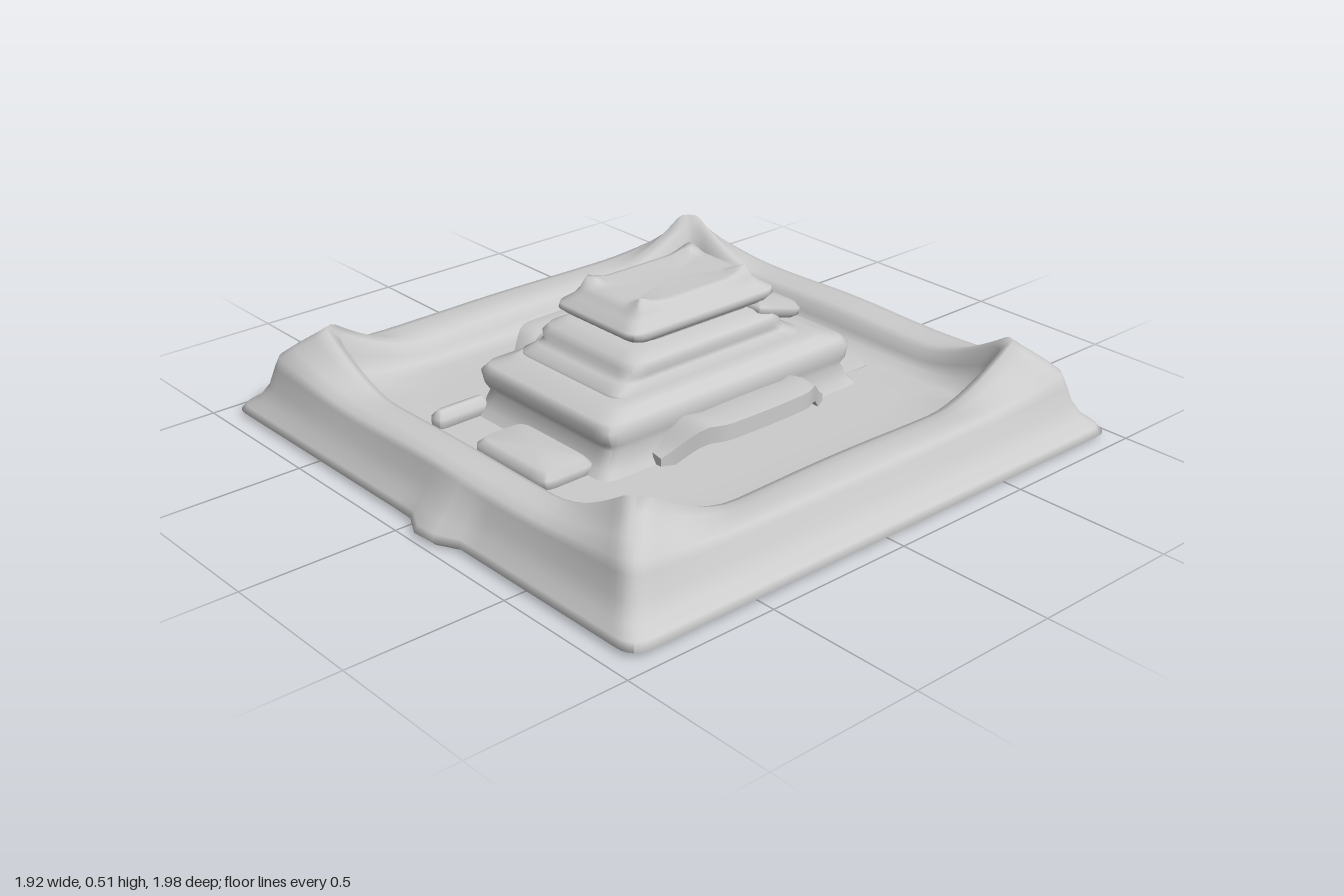
import * as THREE from 'three';

const material = new THREE.MeshStandardMaterial({ color: 0xcccccc, side: THREE.DoubleSide });
const smooth = (a, b, v) => THREE.MathUtils.smoothstep(v, a, b);

// Skins stacked rounded rectangles; each ring is [halfX, halfZ, y, cornerLift].
function stack(name, cx, cz, radius, rings, warp, n = 24) {
  const corners = [[1, -1], [1, 1], [-1, 1], [-1, -1]];
  const positions = [], index = [], count = n * 4;
  for (const [hx, hz, y, lift = 0] of rings) {
    const r = Math.min(radius, hx, hz);
    for (let i = 0; i < count; i++) {
      const side = Math.floor(i / n);
      const s = (1 - Math.cos(Math.PI * (i % n) / n)) / 2; // denser near corners
      const a = corners[side], b = corners[(side + 1) % 4];
      const u = a[0] + (b[0] - a[0]) * s, v = a[1] + (b[1] - a[1]) * s;
      let x = u * hx, z = v * hz;
      const qx = THREE.MathUtils.clamp(x, r - hx, hx - r);
      const qz = THREE.MathUtils.clamp(z, r - hz, hz - r);
      const d = Math.hypot(x - qx, z - qz);
      if (d > r) {
        x = qx + (x - qx) * r / d;
        z = qz + (z - qz) * r / d;
      }
      const rise = Math.max(0, (Math.min(Math.abs(u), Math.abs(v)) - 0.54) / 0.4);
      const p = new THREE.Vector3(cx + x, y + lift * Math.min(1, rise) ** 1.6, cz + z);
      if (warp) warp(p);
      positions.push(p.x, p.y, p.z);
    }
  }
  for (let j = 0; j < rings.length - 1; j++) {
    for (let i = 0; i < count; i++) {
      const a = j * count + i, b = j * count + (i + 1) % count;
      index.push(a, a + count, b, b, a + count, b + count);
    }
  }
  const geometry = new THREE.BufferGeometry();
  geometry.setAttribute('position', new THREE.Float32BufferAttribute(positions, 3));
  geometry.setIndex(index);
  geometry.computeVertexNormals();
  const mesh = new THREE.Mesh(geometry, material);
  mesh.name = name;
  return mesh;
}

// Soft slab between two heights
function slab(name, cx, cz, hx, hz, y0, y1) {
  const r = 0.035, e = Math.min(r, (y1 - y0) / 2) * 0.6;
  return stack(name, cx, cz, r, [
    [0, 0, y0], [hx - e, hz - e, y0], [hx, hz, y0 + e],
    [hx, hz, y1 - e], [hx - e, hz - e, y1], [0, 0, y1],
  ], null, 10);
}

// Side gallery: a flat-topped bridge whose ends curve down and in to the building
function gallery(name, side, x, top, width, zBack, zFront) {
  const geometry = new THREE.BoxGeometry(width, 0.06, 2, 2, 1, 28);
  const p = geometry.attributes.position;
  for (let i = 0; i < p.count; i++) {
    const t = p.getZ(i), k = Math.abs(t);
    const drop = (top - 0.13) * smooth(0.6, 1.05, k);
    const across = p.getX(i) * (1 - 0.3 * k * k);
    p.setXYZ(i,
      side * (x - 0.09 * smooth(0.45, 1.05, k)) + across,
      top - 0.03 - drop + p.getY(i) - (Math.abs(p.getX(i)) > 0.01 && p.getY(i) > 0 ? 0.008 : 0),
      (zBack + zFront) / 2 + t * (zFront - zBack) / 2);
  }
  geometry.computeVertexNormals();
  const mesh = new THREE.Mesh(geometry, material);
  mesh.name = name;
  return mesh;
}

export function createModel() {
  const model = new THREE.Group();
  model.name = 'walledPagoda';

  // Walled base with peaked corners, flared skirt and sunken floor
  model.add(stack('walledBase', -0.007, -0.02, 0.06, [
    [0, 0, 0.005], [0.94, 0.945, 0.005], [0.96, 0.962, 0.02], [0.945, 0.95, 0.04],
    [0.91, 0.925, 0.065], [0.885, 0.9, 0.11], [0.868, 0.885, 0.155, 0.015],
    [0.856, 0.875, 0.175, 0.03], [0.82, 0.84, 0.184, 0.055], [0.775, 0.795, 0.182, 0.095],
    [0.745, 0.765, 0.18, 0.125], [0.715, 0.74, 0.168, 0.105], [0.695, 0.725, 0.135, 0.07],
    [0.68, 0.71, 0.108, 0.035], [0.63, 0.66, 0.097, 0.008], [0.5, 0.55, 0.1], [0, 0, 0.1],
  ], (p) => {
    // pointed nubs in the middle of the front and back skirts
    const k = smooth(0, 1, 1 - Math.abs(p.x - 0.1) / 0.12);
    if (Math.abs(p.z) > 0.8) p.z += (p.z > 0 ? 0.05 : -0.018) * k * smooth(-0.16, -0.03, -p.y);
    // slight unevenness along the rim
    if (p.y > 0.12) p.y += 0.004 * Math.sin(9 * p.x + 2) * Math.cos(7 * p.z);
  }, 40));

  // Lower tier
  model.add(stack('lowerTier', -0.005, -0.02, 0.05, [
    [0.33, 0.53, 0.09], [0.31, 0.5, 0.12], [0.3, 0.475, 0.17], [0.31, 0.49, 0.195],
    [0.312, 0.5, 0.235], [0.298, 0.48, 0.257], [0.26, 0.43, 0.27],
    [0.245, 0.4, 0.285], [0, 0, 0.285],
  ]));

  // Middle tier with its overhanging roof
  model.add(stack('middleTier', -0.01, 0.0, 0.05, [
    [0.24, 0.37, 0.265], [0.235, 0.375, 0.295], [0.22, 0.33, 0.312], [0.215, 0.31, 0.325],
    [0.222, 0.31, 0.345], [0.212, 0.29, 0.364], [0.17, 0.25, 0.385], [0, 0, 0.39],
  ]));

  // Rear roof slope, hanging out over the lower tier
  const eave = slab('rearEave', 0, 0, 0.21, 0.1, -0.025, 0.025);
  eave.position.set(-0.022, 0.36, -0.315);
  eave.rotation.x = -0.28;
  model.add(eave);

  // Upper tier: narrow neck, wide eave and tapering crown with raised corners
  model.add(stack('upperTier', -0.015, -0.025, 0.045, [
    [0.16, 0.22, 0.36], [0.15, 0.21, 0.395], [0.175, 0.27, 0.402], [0.186, 0.292, 0.42],
    [0.183, 0.288, 0.436], [0.16, 0.257, 0.455], [0.149, 0.24, 0.476],
    [0.135, 0.222, 0.488, 0.026], [0.118, 0.2, 0.49, 0.016], [0.09, 0.17, 0.486], [0, 0, 0.486],
  ]));

  // Side galleries
  model.add(gallery('rightGallery', -1, 0.435, 0.25, 0.1, -0.36, 0.32));
  model.add(gallery('leftGallery', 1, 0.385, 0.225, 0.12, -0.35, 0.31));

  // Low steps in front and behind
  model.add(slab('frontStep', 0.07, 0.56, 0.17, 0.095, 0.08, 0.145));
  model.add(slab('frontRail', -0.3, 0.55, 0.03, 0.1, 0.08, 0.15));
  model.add(slab('backStep', -0.03, -0.58, 0.28, 0.08, 0.08, 0.115));

  return model;
}
